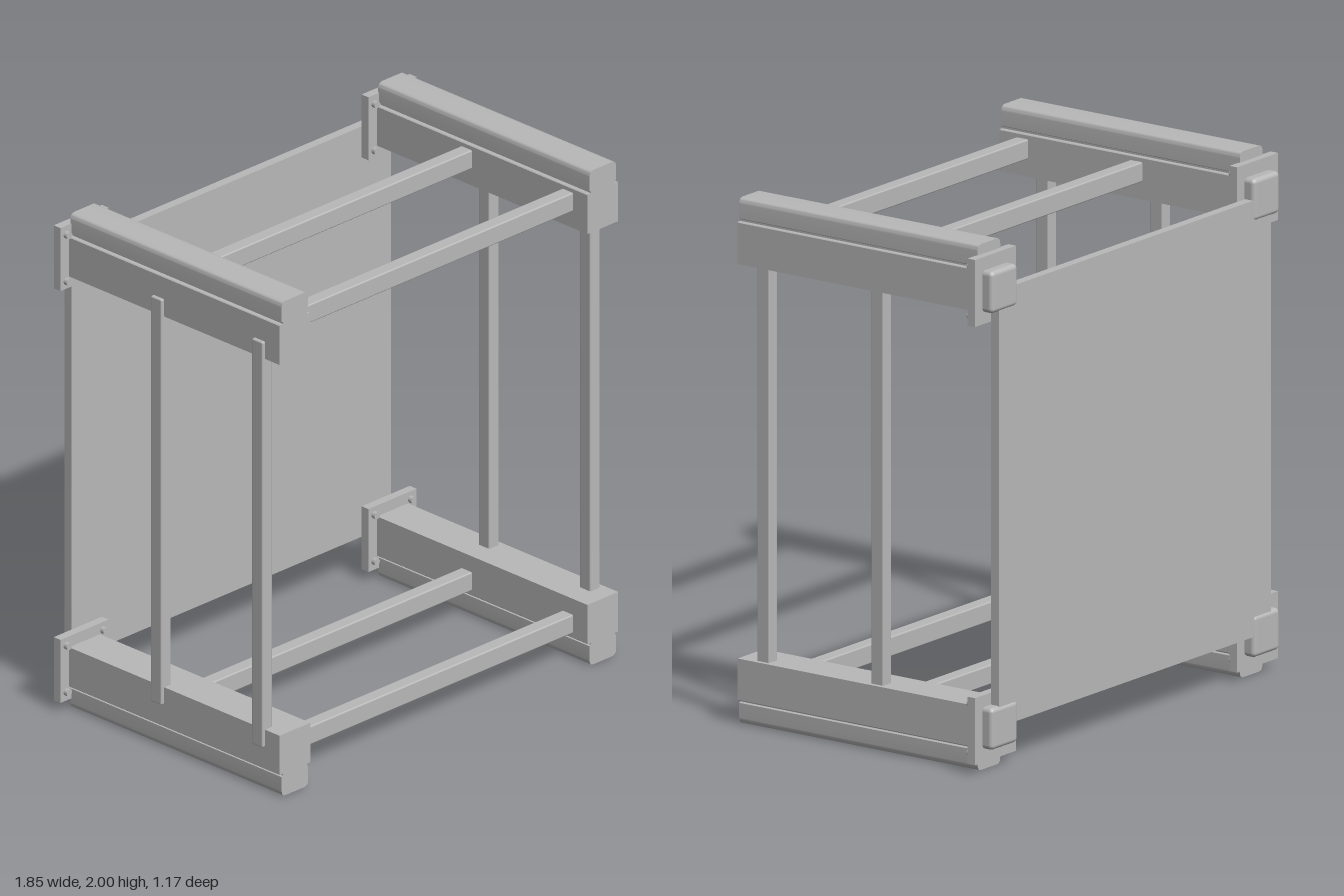
import * as THREE from 'three';
import { RoundedBoxGeometry } from 'three/addons/geometries/RoundedBoxGeometry.js';
import { toCreasedNormals } from 'three/addons/utils/BufferGeometryUtils.js';

export function createModel() {
  const model = new THREE.Group();
  model.name = 'rackFrame';
  const grey = new THREE.MeshStandardMaterial({ color: 0xb8b8b8 });
  grey.name = 'plain grey';

  const add = (parent, name, geometry, x, y, z) => {
    const mesh = new THREE.Mesh(geometry, grey);
    mesh.name = name;
    mesh.position.set(x, y, z);
    parent.add(mesh);
    return mesh;
  };

  // Rail section: square body with a narrower rounded cap over a shallow neck
  const half = [[0.08, -0.08], [0.08, 0.077], [0.077, 0.08], [0.062, 0.08], [0.062, 0.087], [0.069, 0.091]];
  const section = new THREE.Shape();
  section.moveTo(-0.08, -0.08);
  half.forEach(([x, y]) => section.lineTo(x, y));
  section.lineTo(0.069, 0.147);
  section.quadraticCurveTo(0.069, 0.17, 0.046, 0.17);
  section.lineTo(-0.046, 0.17);
  section.quadraticCurveTo(-0.069, 0.17, -0.069, 0.147);
  half.slice(1).reverse().forEach(([x, y]) => section.lineTo(-x, y));
  section.closePath();
  const railGeometry = toCreasedNormals(
    new THREE.ExtrudeGeometry(section, { depth: 1.093, bevelEnabled: false, curveSegments: 6 }), 0.6);

  const plateGeometry = new THREE.BoxGeometry(0.25, 0.255, 0.035);
  const endCapGeometry = new RoundedBoxGeometry(0.16, 0.16, 0.06, 3, 0.018);
  const boltGeometry = new THREE.CylinderGeometry(0.014, 0.014, 0.018, 16).rotateX(Math.PI / 2);

  // Four corner rails with bolted mounting plates at the back
  for (const sx of [-1, 1]) for (const sy of [-1, 1]) {
    const corner = new THREE.Group();
    corner.name = (sy > 0 ? 'upper' : 'lower') + (sx > 0 ? 'Left' : 'Right') + 'Rail';
    corner.position.set(sx * 0.8, 1 + sy * 0.83, 0);
    if (sy < 0) corner.rotation.z = Math.PI;
    model.add(corner);
    add(corner, 'railBeam', railGeometry, 0, 0, -0.51);
    add(corner, 'mountingPlate', plateGeometry, 0, 0.003, -0.5225);
    add(corner, 'endCap', endCapGeometry, 0, 0, -0.555);
    for (const bx of [-0.095, 0.095]) for (const by of [-0.093, 0.095])
      add(corner, 'plateBolt', boltGeometry, bx, by, -0.498);
  }

  // Crossbars and uprights; the right uprights sit on the outer face of the rails
  const crossbarGeometry = new RoundedBoxGeometry(1.46, 0.075, 0.057, 2, 0.006);
  const uprightGeometry = new RoundedBoxGeometry(0.052, 1.64, 0.057, 2, 0.006);
  for (const z of [0.48, -0.043]) {
    add(model, 'upperCrossbar', crossbarGeometry, 0, 1.855, z);
    add(model, 'lowerCrossbar', crossbarGeometry, 0, 0.148, z);
    add(model, 'leftUpright', uprightGeometry, 0.836, 1, z);
    add(model, 'rightUpright', uprightGeometry, -0.868, 1, z);
  }

  // Back panel
  add(model, 'backPanel', new THREE.BoxGeometry(1.66, 1.66, 0.037), 0, 1, -0.5605);

  return model;
}
